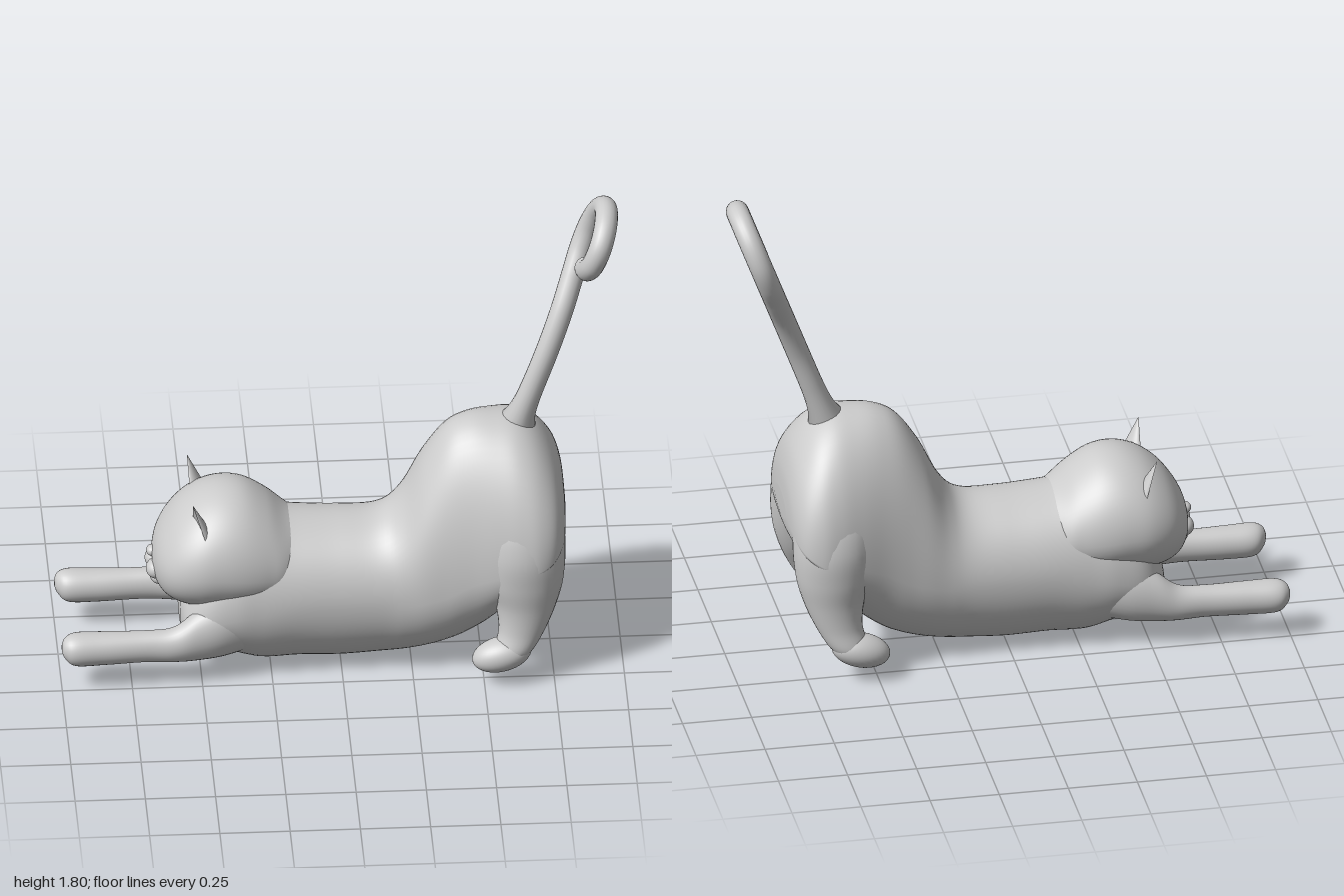
import * as THREE from 'three';

const material = new THREE.MeshStandardMaterial({ color: 0xcccccc, roughness: 0.8 });

function add(parent, name, geometry) {
  const mesh = new THREE.Mesh(geometry, material);
  mesh.name = name;
  parent.add(mesh);
  return mesh;
}

// Smooth (Catmull-Rom) interpolation of a table of cross-sections
function sampleRows(rows, t) {
  const f = t * (rows.length - 1);
  const i = Math.min(Math.floor(f), rows.length - 2);
  const u = f - i;
  const at = (k) => rows[THREE.MathUtils.clamp(k, 0, rows.length - 1)];
  return rows[i].map((p1, c) => {
    const p0 = at(i - 1)[c], p2 = at(i + 1)[c], p3 = at(i + 2)[c];
    return p1 + 0.5 * u * (p2 - p0 + u * (2 * p0 - 5 * p1 + 4 * p2 - p3 + u * (3 * (p1 - p2) + p3 - p0)));
  });
}

// Closed skin through cross-sections; ring(row, cos, sin) gives one point
function loft(rows, ring, sides = 48, perRow = 6) {
  const steps = (rows.length - 1) * perRow;
  const pos = [], index = [];
  for (let i = 0; i <= steps; i++) {
    const row = sampleRows(rows, i / steps);
    for (let j = 0; j < sides; j++) {
      const a = (j / sides) * Math.PI * 2;
      pos.push(...ring(row, Math.cos(a), Math.sin(a)));
    }
  }
  pos.push(...ring(rows[0], 0, 0), ...ring(rows.at(-1), 0, 0));
  const first = (steps + 1) * sides;
  for (let j = 0; j < sides; j++) {
    const k = (j + 1) % sides;
    for (let i = 0; i < steps; i++) {
      const a = i * sides + j, b = i * sides + k;
      index.push(a, b, a + sides, b, b + sides, a + sides);
    }
    index.push(first, k, j, first + 1, steps * sides + j, steps * sides + k);
  }
  const g = new THREE.BufferGeometry();
  g.setAttribute('position', new THREE.Float32BufferAttribute(pos, 3));
  g.setIndex(index);
  g.computeVertexNormals();
  return g;
}

// Section along x with its own top and bottom heights: [x, top, mid, bottom, half width]
const trunkRing = ([x, top, mid, bottom, w], c, s) =>
  [x, mid + c * (c > 0 ? top - mid : mid - bottom), s * w];

function ball(parent, name, [x, y, z], [rx, ry, rz]) {
  const mesh = add(parent, name, new THREE.SphereGeometry(1, 32, 24).scale(rx, ry, rz));
  mesh.position.set(x, y, z);
  return mesh;
}

// Flattened cone, hollowed on its front
function earGeometry() {
  const g = new THREE.ConeGeometry(0.08, 0.17, 32, 10).scale(0.6, 1, 1);
  const p = g.attributes.position;
  for (let i = 0; i < p.count; i++) {
    if (p.getX(i) < 0) p.setX(i, p.getX(i) * -0.15);
  }
  g.computeVertexNormals();
  return g;
}

// Tube whose radius widens into the rump
function tailGeometry() {
  const heightAndZ = [
    [0.88, 0], [1.05, 0], [1.2, -0.01], [1.34, -0.045], [1.45, -0.1], [1.54, -0.148], [1.62, -0.16],
    [1.7, -0.13], [1.75, -0.07], [1.76, -0.01], [1.735, 0.06], [1.68, 0.102], [1.61, 0.095], [1.565, 0.05], [1.56, 0.03],
  ];
  const curve = new THREE.CatmullRomCurve3(
    heightAndZ.map(([y, z]) => new THREE.Vector3(0.742 + 0.375 * (y - 1.2), y, z)));
  const steps = 120, sides = 20;
  const g = new THREE.TubeGeometry(curve, steps, 1, sides);
  const p = g.attributes.position, v = new THREE.Vector3();
  for (let i = 0; i < p.count; i++) {
    const t = Math.floor(i / (sides + 1)) / steps;
    const centre = curve.getPointAt(t);
    const radius = 0.041 + 0.07 * Math.exp(-t * 32);
    v.fromBufferAttribute(p, i).sub(centre).multiplyScalar(radius).add(centre);
    p.setXYZ(i, v.x, v.y, v.z);
  }
  return { geometry: g, tip: curve.getPointAt(1) };
}

export function createModel() {
  const cat = new THREE.Group();
  cat.name = 'stretchingCat';

  // Body: low chest rising to a high rump
  add(cat, 'body', loft([
    [-0.57, 0.26, 0.2, 0.15, 0.1], [-0.55, 0.32, 0.2, 0.11, 0.19], [-0.48, 0.48, 0.24, 0.08, 0.24],
    [-0.38, 0.56, 0.27, 0.04, 0.255], [-0.28, 0.58, 0.28, 0.008, 0.252], [-0.15, 0.565, 0.3, 0.008, 0.247],
    [0, 0.557, 0.3, 0.003, 0.243], [0.14, 0.565, 0.3, 0.012, 0.242], [0.22, 0.635, 0.3, 0.02, 0.247],
    [0.3, 0.79, 0.32, 0.035, 0.257], [0.38, 0.9, 0.35, 0.06, 0.266], [0.46, 0.942, 0.4, 0.1, 0.28],
    [0.55, 0.95, 0.44, 0.18, 0.305], [0.63, 0.943, 0.46, 0.3, 0.325], [0.7, 0.9, 0.48, 0.41, 0.328],
    [0.76, 0.82, 0.52, 0.47, 0.295], [0.79, 0.73, 0.56, 0.51, 0.22], [0.8, 0.64, 0.59, 0.55, 0.1],
  ], trunkRing, 64));

  // Head, running back into the neck
  const head = new THREE.Group();
  head.name = 'head';
  cat.add(head);
  add(head, 'skull', loft([
    [-0.668, 0.43, 0.4, 0.37, 0.04], [-0.652, 0.49, 0.41, 0.32, 0.12], [-0.62, 0.55, 0.42, 0.28, 0.185],
    [-0.57, 0.613, 0.43, 0.255, 0.23], [-0.5, 0.665, 0.44, 0.24, 0.257], [-0.42, 0.69, 0.44, 0.24, 0.262],
    [-0.34, 0.682, 0.43, 0.24, 0.255], [-0.26, 0.635, 0.42, 0.24, 0.235], [-0.19, 0.575, 0.41, 0.25, 0.205],
    [-0.1, 0.52, 0.4, 0.3, 0.12],
  ], trunkRing, 64));
  ball(head, 'nose', [-0.665, 0.425, 0], [0.022, 0.02, 0.026]);
  ball(head, 'chin', [-0.64, 0.325, 0], [0.035, 0.03, 0.05]);

  const tail = tailGeometry();
  add(cat, 'tail', tail.geometry);
  ball(cat, 'tailTip', tail.tip.toArray(), [0.041, 0.041, 0.041]);

  for (const [side, s] of [['left', -1], ['right', 1]].map(([n, k]) => [n, -k])) {
    // Face details
    ball(head, side + 'MuzzlePad', [-0.652, 0.372, s * 0.036], [0.038, 0.036, 0.045]);
    ball(head, side + 'Eye', [-0.612, 0.49, s * 0.1], [0.024, 0.02, 0.036]).rotation.x = s * 0.25;
    const ear = add(head, side + 'Ear', earGeometry());
    ear.position.set(-0.515, 0.63, s * 0.157);
    ear.rotation.set(s * 0.15, s * 0.3, 0.2);

    // Front leg stretched forward: [x, y, z, half height, half width]
    add(cat, side + 'FrontLeg', loft([
      [-1, 0.165, 0.225, 0.012, 0.012], [-0.988, 0.163, 0.223, 0.038, 0.038], [-0.95, 0.156, 0.219, 0.06, 0.061],
      [-0.85, 0.155, 0.216, 0.061, 0.058], [-0.7, 0.157, 0.215, 0.059, 0.05], [-0.6, 0.16, 0.214, 0.066, 0.053],
      [-0.52, 0.185, 0.2, 0.095, 0.065], [-0.42, 0.21, 0.17, 0.12, 0.085], [-0.3, 0.23, 0.14, 0.12, 0.08],
    ], ([x, y, z, ry, rz], c, n) => [x, y + c * ry, s * z + n * rz], 32));

    // Hind leg from haunch to ankle: [y, x, z, half depth, half width]
    add(cat, side + 'HindLeg', loft([
      [0.74, 0.63, 0.14, 0.07, 0.06], [0.64, 0.64, 0.175, 0.14, 0.115], [0.52, 0.645, 0.205, 0.148, 0.127],
      [0.4, 0.648, 0.222, 0.137, 0.111], [0.3, 0.65, 0.235, 0.108, 0.088], [0.21, 0.635, 0.258, 0.083, 0.066],
      [0.14, 0.605, 0.275, 0.07, 0.06], [0.1, 0.585, 0.28, 0.045, 0.045],
    ], ([y, x, z, rx, rz], c, n) => [x + c * rx, y, s * z + n * rz], 32));
    ball(cat, side + 'HindPaw', [0.562, 0.118, s * 0.28], [0.108, 0.062, 0.067]).rotation.z = 0.25;
  }
  return cat;
}
